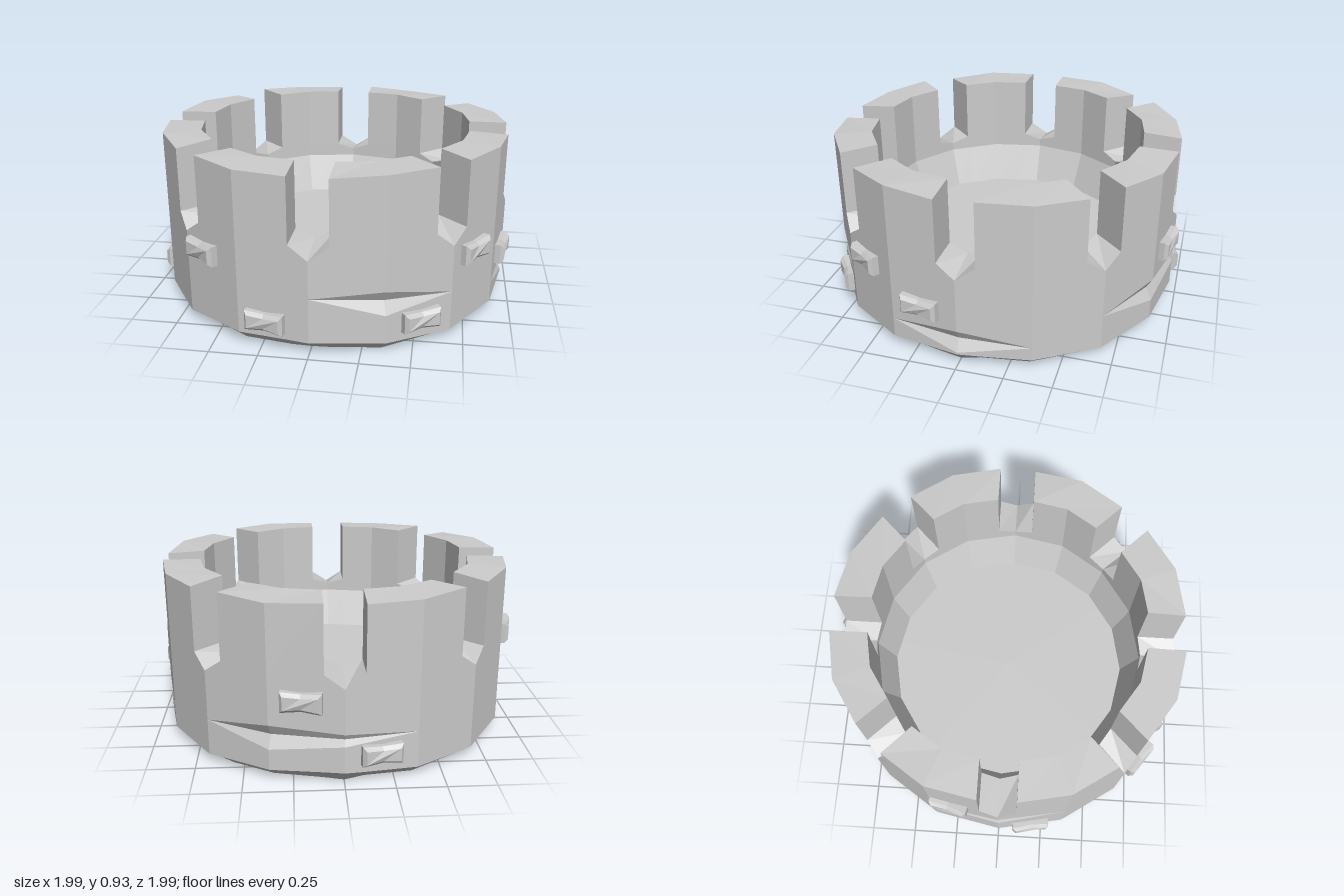
import * as THREE from 'three';

const SEGS = 8, COLS = SEGS * 4;
const NOTCH = 0.1;                        // half width of a notch
const TOP = 0.935, SILL = 0.58;           // rim and notch edge heights
const VEE_OUT = 0.51, VEE_IN = 0.545;     // notch centre heights
const R_FOOT = 0.905, R_WALL = 0.965, R_IN = 0.76, R_FLOOR = 0.68, FLOOR = 0.28;

// Worn gashes: start, peak and end angle, with their heights
const GASHES = [
  { a: [0, 22.5, 45], y: [0.31, 0.28, 0.26] },
  { a: [67.5, 90, 112.5], y: [0.17, 0.15, 0.13] },
  { a: [135, 157.5, 202.5], y: [0.24, 0.24, 0.25] },
  { a: [247.5, 270, 292.5], y: [0.31, 0.36, 0.38] },
];

const wrap = (j) => ((j % COLS) + COLS) % COLS;
const angleOf = (j) => Math.floor(j / 4) * 45 + [0, 6, 22.5, 39][j % 4];

// Point on the 16-sided ring. Columns per segment: notch centre, notch edge, middle, notch edge
function point(col, r, y) {
  const j = wrap(col), k = Math.floor(j / 4), type = j % 4;
  const vertex = (i) => {
    const a = i * Math.PI / 8;
    return new THREE.Vector3(r * Math.sin(a), y, r * Math.cos(a));
  };
  if (type === 0) return vertex(2 * k);
  if (type === 2) return vertex(2 * k + 1);
  const t = NOTCH / (r * Math.sin(Math.PI / 8));
  return vertex(type === 1 ? 2 * k : 2 * k + 2).lerp(vertex(2 * k + 1), t);
}

function gashAt(col) {
  const az = angleOf(wrap(col));
  for (const { a, y } of GASHES) {
    if (az < a[0] || az > a[2]) continue;
    const left = az <= a[1];
    const w = left ? (az - a[0]) / (a[1] - a[0]) : (a[2] - az) / (a[2] - a[1]);
    return { w, y: THREE.MathUtils.lerp(left ? y[0] : y[2], y[1], w) };
  }
  return { w: 0, y: 0.25 };
}

function facetMesh(name, material, build) {
  const verts = [];
  const tri = (...p) => p.forEach((v) => verts.push(v.x, v.y, v.z));
  const quad = (a, b, c, d) => { tri(a, b, c); tri(a, c, d); };
  build(quad, tri);
  const g = new THREE.BufferGeometry();
  g.setAttribute('position', new THREE.Float32BufferAttribute(verts, 3));
  g.computeVertexNormals();
  const mesh = new THREE.Mesh(g, material);
  mesh.name = name;
  return mesh;
}

// Uneven heights along the foot and the rim
const footY = (j) => (wrap(j) === 0 ? 0.02 : 0.006 + 0.006 * Math.sin(wrap(j) * 2.3));
const skirtY = (j) => 0.057 + 0.012 * Math.cos(wrap(j) * 0.8);
const rimY = (j) => TOP - 0.008 * (1 + Math.sin(wrap(j) * 1.9));
const sillY = (j, vee) => (wrap(j) % 4 === 0 ? vee : SILL);

// Outer wall points from foot to sill, including the gash
function outerColumn(j) {
  const { w, y } = gashAt(j);
  return [
    point(j, R_FOOT, footY(j)),
    point(j, R_WALL, skirtY(j)),
    point(j, R_WALL, y - 0.07 * w),
    point(j, R_WALL - 0.035 * w, y),
    point(j, R_WALL, y + 0.06 * w),
    point(j, R_WALL, sillY(j, VEE_OUT)),
  ];
}

export function createModel() {
  const group = new THREE.Group();
  const material = new THREE.MeshStandardMaterial({ color: 0xcccccc, flatShading: true });

  group.add(facetMesh('outerWall', material, (quad) => {
    for (let j = 0; j < COLS; j++) {
      const a = outerColumn(j), b = outerColumn(j + 1);
      for (let i = 0; i < a.length - 1; i++) quad(a[i], b[i], b[i + 1], a[i + 1]);
    }
  }));

  // Inner wall, sloping in towards the floor
  group.add(facetMesh('innerWall', material, (quad) => {
    for (let j = 0; j < COLS; j++) {
      const col = (c) => [point(c, R_FLOOR, FLOOR), point(c, R_IN, 0.5), point(c, R_IN, sillY(c, VEE_IN))];
      const a = col(j), b = col(j + 1);
      for (let i = 0; i < 2; i++) quad(b[i], a[i], a[i + 1], b[i + 1]);
    }
  }));

  group.add(facetMesh('floorAndBase', material, (quad, tri) => {
    const up = new THREE.Vector3(0, FLOOR, 0), down = new THREE.Vector3(0, 0.005, 0);
    for (let j = 0; j < COLS; j++) {
      tri(up, point(j, R_FLOOR, FLOOR), point(j + 1, R_FLOOR, FLOOR));
      tri(down, point(j + 1, R_FOOT, footY(j + 1)), point(j, R_FOOT, footY(j)));
    }
  }));

  // V-shaped notch floors, falling outwards along the centre line
  group.add(facetMesh('notchFloors', material, (quad) => {
    for (let k = 0; k < SEGS; k++) {
      for (const j of [4 * k - 1, 4 * k]) {
        quad(point(j, R_WALL, sillY(j, VEE_OUT)), point(j + 1, R_WALL, sillY(j + 1, VEE_OUT)),
          point(j + 1, R_IN, sillY(j + 1, VEE_IN)), point(j, R_IN, sillY(j, VEE_IN)));
      }
    }
  }));

  // Battlement blocks between the notches
  for (let k = 0; k < SEGS; k++) {
    group.add(facetMesh('battlement', material, (quad) => {
      const [l, m, r] = [1, 2, 3].map((i) => 4 * k + i).map((j) => ({
        lowOut: point(j, R_WALL, SILL), topOut: point(j, R_WALL, rimY(j)),
        lowIn: point(j, R_IN, SILL), topIn: point(j, R_IN, TOP),
      }));
      for (const [a, b] of [[l, m], [m, r]]) {
        quad(a.lowOut, b.lowOut, b.topOut, a.topOut);
        quad(b.lowIn, a.lowIn, a.topIn, b.topIn);
        quad(a.topOut, b.topOut, b.topIn, a.topIn);
      }
      quad(l.lowIn, l.lowOut, l.topOut, l.topIn);
      quad(r.lowOut, r.lowIn, r.topIn, r.topOut);
    }));
  }

  // Chamfered stones, pinched in the middle, standing out of the wall
  const shape = new THREE.Shape([[-0.087, -0.036], [0, -0.028], [0.087, -0.036],
    [0.087, 0.036], [0, 0.028], [-0.087, 0.036]].map(([x, y]) => new THREE.Vector2(x, y)));
  const stone = new THREE.ExtrudeGeometry(shape, {
    depth: 0.06, bevelEnabled: true, bevelThickness: 0.018, bevelSize: 0.017, bevelSegments: 1,
  });
  stone.translate(0, 0, -0.078);
  const p = stone.attributes.position;
  for (let i = 0; i < p.count; i++) {
    if (Math.abs(p.getX(i)) < 0.03) p.setZ(i, p.getZ(i) - 0.01);
  }
  stone.computeVertexNormals();

  // Angle and height of each stone
  const stones = [[-13.5, 0.155], [-37, 0.44], [34, 0.155], [55, 0.44], [78, 0.305],
    [-79, 0.155], [254, 0.56], [191, 0.16], [167.5, 0.44]];
  for (const [deg, y] of stones) {
    const a = THREE.MathUtils.degToRad(deg);
    const mesh = new THREE.Mesh(stone, material);
    mesh.name = 'wallStone';
    mesh.position.set(Math.sin(a) * 0.997, y, Math.cos(a) * 0.997);
    mesh.rotation.y = a;
    group.add(mesh);
  }
  return group;
}
